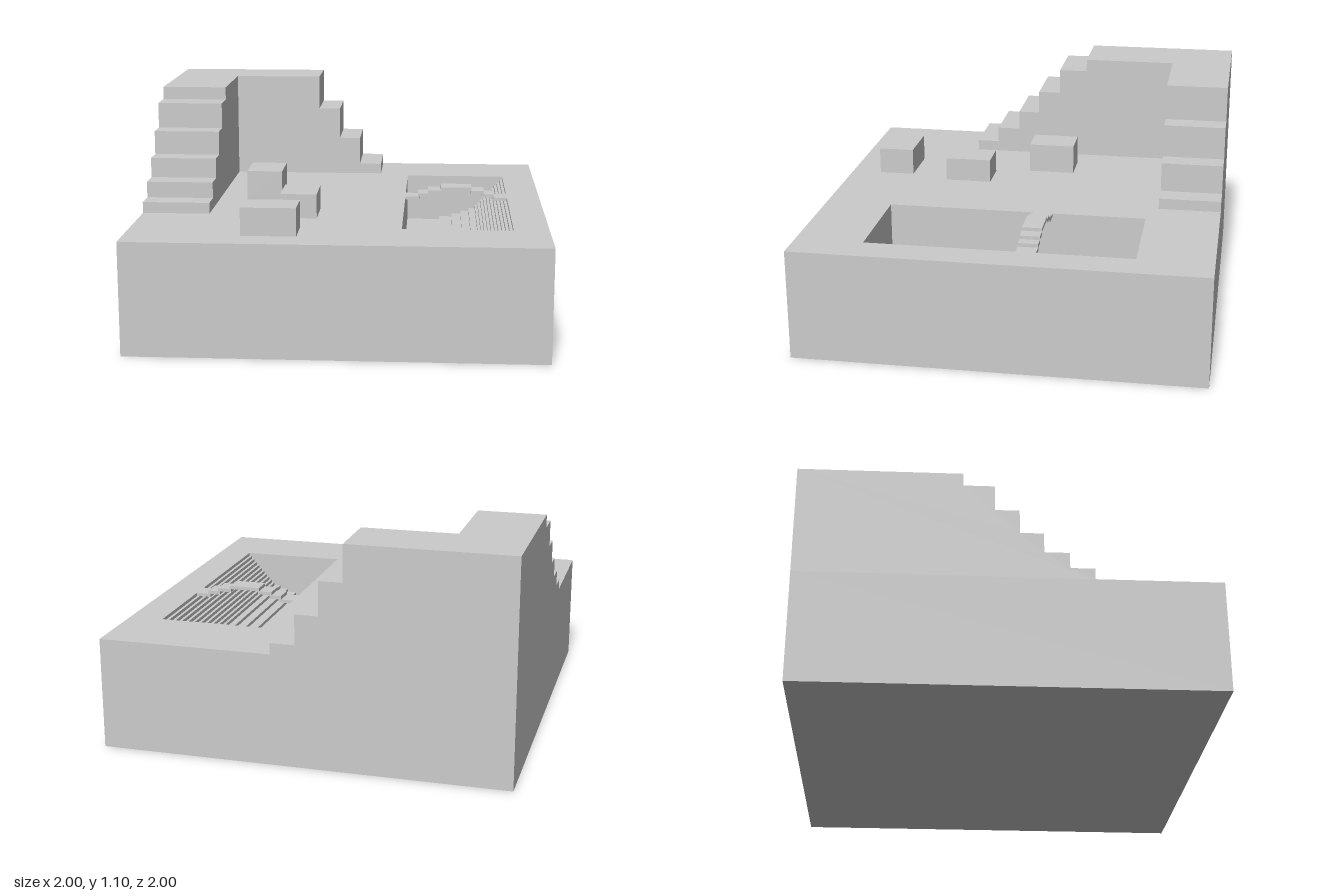
import * as THREE from 'three';

const material = new THREE.MeshStandardMaterial({ color: 0xcccccc, flatShading: true });

function addMesh(parent, name, geometry) {
  const mesh = new THREE.Mesh(geometry, material);
  mesh.name = name;
  parent.add(mesh);
  return mesh;
}

// Box given by its two opposite corners
function addBox(parent, name, [x0, y0, z0], [x1, y1, z1]) {
  const mesh = addMesh(parent, name, new THREE.BoxGeometry(x1 - x0, y1 - y0, z1 - z0));
  mesh.position.set((x0 + x1) / 2, (y0 + y1) / 2, (z0 + z1) / 2);
}

// Solid stair: steps are [end, height] pairs running along the first axis
function stairGeometry(start, bottom, steps, depth) {
  const shape = new THREE.Shape();
  shape.moveTo(start, bottom);
  let at = start;
  for (const [end, height] of steps) {
    shape.lineTo(at, height);
    shape.lineTo(end, height);
    at = end;
  }
  shape.lineTo(at, bottom);
  return new THREE.ExtrudeGeometry(shape, { depth, bevelEnabled: false });
}

export function createModel() {
  const model = new THREE.Group();
  const ground = 0.55;
  const pit = { x0: 0.3, x1: 0.83, z0: -0.635, z1: 0.665 };

  // Ground slab with a rectangular opening for the pit
  const outline = new THREE.Shape([[-1, -1], [1, -1], [1, 1], [-1, 1]].map(p => new THREE.Vector2(...p)));
  outline.holes.push(new THREE.Path([
    [pit.x0, -pit.z0], [pit.x1, -pit.z0], [pit.x1, -pit.z1], [pit.x0, -pit.z1],
  ].map(p => new THREE.Vector2(...p))));
  const slab = new THREE.ExtrudeGeometry(outline, { depth: ground, bevelEnabled: false });
  addMesh(model, 'groundSlab', slab.rotateX(-Math.PI / 2));

  // Pit floor: wide treads first, then narrow ones climbing to ground level
  const ends = [0.48, 0.55, 0.6, 0.645, 0.68];
  for (let i = 1; i <= 10; i++) ends.push(0.68 + i * 0.015);
  const depth = 0.25;
  const floorSteps = ends.map((end, i) => [end, ground - depth * (1 - i / ends.length)]);
  const floor = addMesh(model, 'pitSteps', stairGeometry(pit.x0, 0, floorSteps, pit.z1 - pit.z0));
  floor.position.z = pit.z0;

  // Stepped footbridge, mirrored about its middle
  const bridge = new THREE.Group();
  bridge.name = 'bridge';
  bridge.position.set((pit.x0 + pit.x1) / 2, 0, -0.118);
  model.add(bridge);
  const halfWidth = 0.049;
  addBox(bridge, 'bridgeTop', [-0.08, 0.585, -halfWidth], [0.08, 0.602, halfWidth]);
  const slabs = [[0.075, 0.147, 0.568, 0.585], [0.137, 0.2, 0.55, 0.568], [0.19, 0.265, 0.533, 0.55]];
  for (const [a, b, low, high] of slabs) {
    addBox(bridge, 'bridgeStepLeft', [a, low, -halfWidth], [b, high, halfWidth]);
    addBox(bridge, 'bridgeStepRight', [-b, low, -halfWidth], [-a, high, halfWidth]);
  }

  // Corner wall: one wing along the right side, one along the back
  const sideSteps = [[-0.215, 1.1], [-0.067, 1.035], [0.05, 0.905], [0.163, 0.785], [0.282, 0.685], [0.398, 0.605]];
  const sideWing = addMesh(model, 'sideStairWall',
    stairGeometry(-1, ground, sideSteps, 0.335).rotateY(-Math.PI / 2));
  sideWing.position.x = -0.665;
  const backSteps = [[-0.203, 1.1], [-0.087, 0.92], [0.027, 0.753], [0.147, 0.605]];
  const backWing = addMesh(model, 'backStairWall', stairGeometry(-0.665, ground, backSteps, 0.312));
  backWing.position.z = -1;

  // Loose blocks on the ground
  addBox(model, 'rearBlock', [-0.52, ground, -0.188], [-0.338, 0.7, 0.05]);
  addBox(model, 'middleBlock', [-0.302, ground, 0.23], [-0.123, 0.67, 0.467]);
  addBox(model, 'frontBlock', [-0.45, ground, 0.665], [-0.187, 0.685, 0.847]);

  return model;
}
